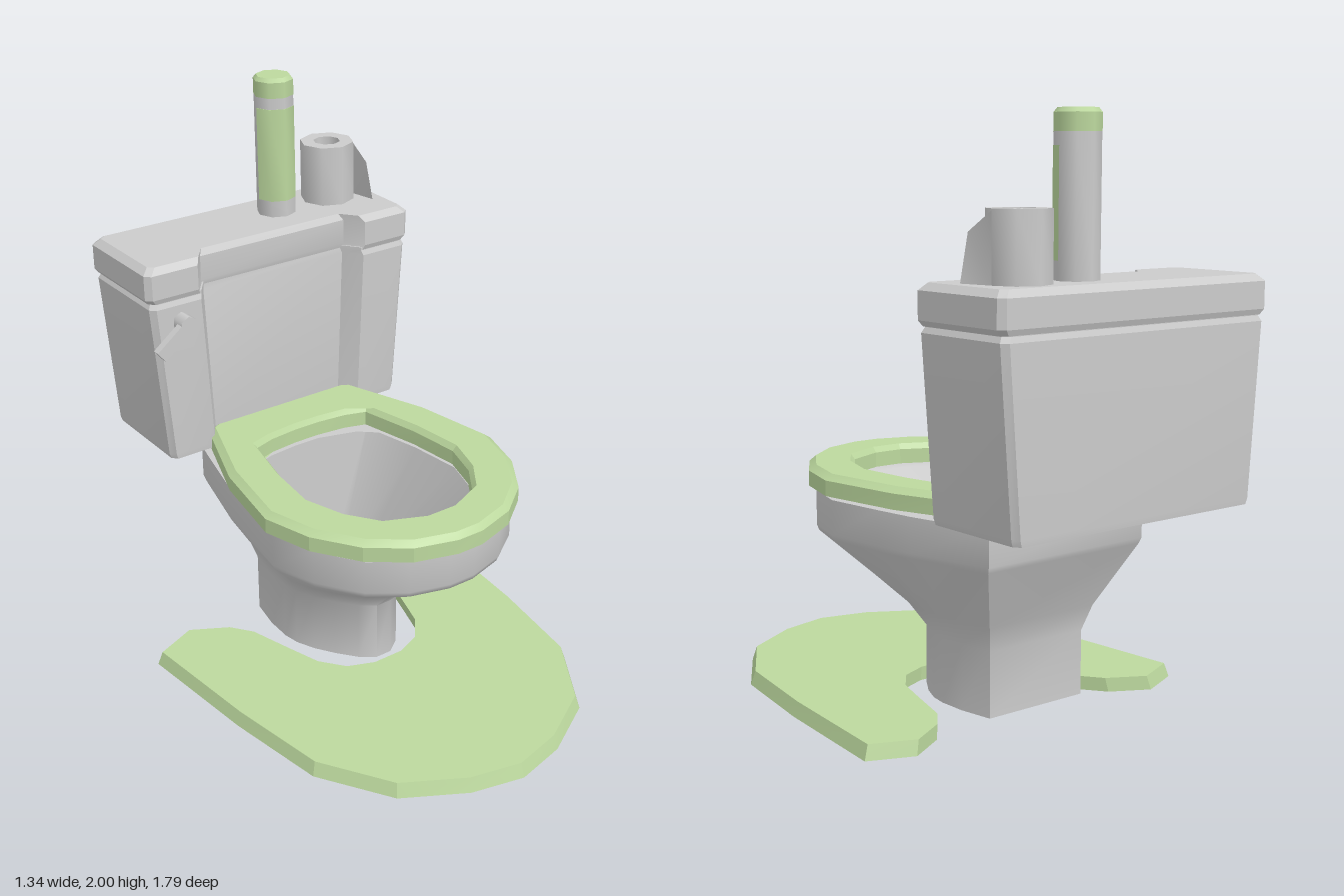
import * as THREE from 'three';
import { toCreasedNormals } from 'three/addons/utils/BufferGeometryUtils.js';

const grey = new THREE.MeshStandardMaterial({ color: 0xcccccc });
const greyOpen = new THREE.MeshStandardMaterial({ color: 0xcccccc, side: THREE.DoubleSide });
const green = new THREE.MeshStandardMaterial({ color: 0xbcd89e });

// Half outline (front to back on +x) mirrored into a full loop
const mirror = (half) => [
  ...half,
  ...half.filter(([x]) => x > 0).reverse().map(([x, z]) => [-x, z]),
];

// Skin between horizontal loops; each ring is { y, pts }
function loft(rings, { bottom = true, closed = false, crease = 0.3 } = {}) {
  const n = rings[0].pts.length;
  const pos = rings.flatMap(({ y, pts }) => pts.flatMap(([x, z]) => [x, y, z]));
  const index = [];
  const bands = closed ? rings.length : rings.length - 1;
  for (let i = 0; i < bands; i++) {
    const a = i * n, b = ((i + 1) % rings.length) * n;
    for (let j = 0; j < n; j++) {
      const k = (j + 1) % n;
      index.push(a + j, a + k, b + k, a + j, b + k, b + j);
    }
  }
  const cap = (r, flip) => {
    const contour = rings[r].pts.map(([x, z]) => new THREE.Vector2(x, -z));
    for (const [a, b, c] of THREE.ShapeUtils.triangulateShape(contour, [])) {
      index.push(r * n + a, r * n + (flip ? c : b), r * n + (flip ? b : c));
    }
  };
  if (!closed && bottom) cap(0, true);
  if (!closed) cap(rings.length - 1, false);
  const g = new THREE.BufferGeometry();
  g.setAttribute('position', new THREE.Float32BufferAttribute(pos, 3));
  g.setIndex(index);
  return toCreasedNormals(g, crease);
}

export function createModel() {
  const model = new THREE.Group();
  const add = (name, geometry, material, x = 0, y = 0, z = 0) => {
    const mesh = new THREE.Mesh(geometry, material);
    mesh.name = name;
    mesh.position.set(x, y, z);
    model.add(mesh);
    return mesh;
  };
  const lathe = (profile, sides = 8, start = 0, arc = Math.PI * 2) => toCreasedNormals(
    new THREE.LatheGeometry(profile.map((p) => new THREE.Vector2(...p)), sides, start, arc), 0.9);
  const scaled = (pts, sx, sz, cz = 0) => pts.map(([x, z]) => [x * sx, cz + (z - cz) * sz]);
  const mix = (a, b, t) => a.map(([x, z], i) => [x + (b[i][0] - x) * t, z + (b[i][1] - z) * t]);

  // Floor mat, a horseshoe around the pedestal
  const mat = mirror([
    [0, 0.895], [0.19, 0.85], [0.405, 0.728], [0.565, 0.475], [0.625, 0.1], [0.67, -0.38],
    [0.515, -0.445], [0.38, -0.37], [0.32, -0.29], [0.27, -0.12], [0.23, 0.01], [0.16, 0.1], [0.06, 0.14],
  ]);
  add('floorMat', loft([{ y: 0, pts: mat }, { y: 0.05, pts: scaled(mat, 0.975, 0.98) }]), green);

  // Bowl: pedestal flaring to the rim, then down into a deep basin
  const foot = mirror([
    [0.03, 0.11], [0.085, 0.07], [0.14, 0], [0.185, -0.07],
    [0.215, -0.14], [0.225, -0.2], [0.222, -0.3], [0.2, -0.42],
  ]);
  const rim = mirror([
    [0.05, 0.545], [0.19, 0.505], [0.31, 0.42], [0.41, 0.27],
    [0.46, 0.1], [0.43, -0.12], [0.405, -0.27], [0.33, -0.57],
  ]);
  const hole = mirror([
    [0.055, 0.415], [0.19, 0.355], [0.265, 0.245], [0.31, 0.1],
    [0.29, -0.1], [0.24, -0.33], [0.16, -0.355], [0.05, -0.367],
  ]);
  const drain = mirror([
    [0.02, -0.13], [0.06, -0.14], [0.1, -0.175], [0.13, -0.21],
    [0.13, -0.25], [0.11, -0.335], [0.08, -0.35], [0.03, -0.355],
  ]);
  const underRim = scaled(rim, 0.985, 0.985);
  add('bowl', loft([
    { y: 0.045, pts: foot },
    { y: 0.27, pts: foot },
    { y: 0.36, pts: mix(foot, underRim, 0.2) },
    { y: 0.58, pts: underRim },
    { y: 0.6, pts: rim },
    { y: 0.72, pts: rim },
    { y: 0.72, pts: scaled(hole, 1.03, 1.015) },
    { y: 0.15, pts: drain },
  ], { bottom: false, crease: 0.9 }), greyOpen);

  // Seat ring with a bevelled top edge
  const seat = mirror([
    [0.05, 0.58], [0.2, 0.535], [0.33, 0.435], [0.433, 0.28],
    [0.485, 0.1], [0.433, -0.21], [0.315, -0.54], [0.29, -0.555],
  ]);
  add('seat', loft([
    { y: 0.737, pts: seat },
    { y: 0.79, pts: seat },
    { y: 0.81, pts: scaled(seat, 0.945, 0.965) },
    { y: 0.81, pts: scaled(hole, 1.05, 1.03) },
    { y: 0.79, pts: hole },
    { y: 0.737, pts: hole },
  ], { closed: true }), green);

  // Tank and lid share an outline with a recessed front
  const outline = mirror([
    [0.305, -0.558], [0.355, -0.49], [0.535, -0.49],
    [0.555, -0.51], [0.555, -0.875], [0.535, -0.895],
  ]);
  const tankRings = (rows) => rows.map(([y, sx, sz]) => ({ y, pts: scaled(outline, sx, sz, -0.69) }));
  add('tank', loft(tankRings([
    [0.75, 0.885, 0.99], [0.77, 0.897, 1], [1.34, 0.978, 1], [1.358, 0.96, 0.965], [1.37, 0.96, 0.965],
  ])), grey);
  add('tankLid', loft(tankRings([
    [1.36, 0.975, 0.965], [1.378, 1, 1], [1.467, 1, 1], [1.49, 0.955, 0.9],
  ])), grey);

  // Flush lever
  const pivot = add('leverPivot', new THREE.CylinderGeometry(0.034, 0.034, 0.058, 6), grey, -0.43, 1.28, -0.465);
  pivot.rotation.x = Math.PI / 2;
  const lever = add('lever', new THREE.BoxGeometry(0.15, 0.046, 0.028), grey, -0.484, 1.236, -0.451);
  lever.rotation.z = 0.66;

  // Spray can: body, label on the front half, cap with a bevelled top
  const canX = 0.127, canZ = -0.732;
  add('sprayCan', lathe([[0, 1.485], [0.072, 1.485], [0.072, 1.93], [0, 1.93]]), grey, canX, 0, canZ);
  add('sprayCanLabel', lathe([[0.072, 1.55], [0.0735, 1.55], [0.0735, 1.89], [0.072, 1.89]],
    4, -Math.PI / 2, Math.PI), green, canX, 0, canZ);
  add('sprayCanCap', new THREE.CylinderGeometry(0.073, 0.073, 0.056, 8), green, canX, 1.958, canZ);
  add('sprayCanCapBevel', new THREE.CylinderGeometry(0.062, 0.073, 0.014, 8), green, canX, 1.993, canZ);

  // Paper roll with an open core and a loose sheet
  add('paperRoll', lathe([
    [0.05, 1.485], [0.1, 1.485], [0.1, 1.71], [0.05, 1.71], [0.05, 1.485],
  ]), greyOpen, 0.364, 0, -0.745);
  const sheet = new THREE.BufferGeometry();
  sheet.setAttribute('position', new THREE.Float32BufferAttribute([
    0.463, 1.49, -0.74, 0.487, 1.49, -0.625, 0.458, 1.64, -0.625, 0.463, 1.705, -0.74,
  ], 3));
  sheet.setIndex([0, 2, 1, 0, 3, 2]);
  sheet.computeVertexNormals();
  add('looseSheet', sheet, greyOpen);

  return model;
}
